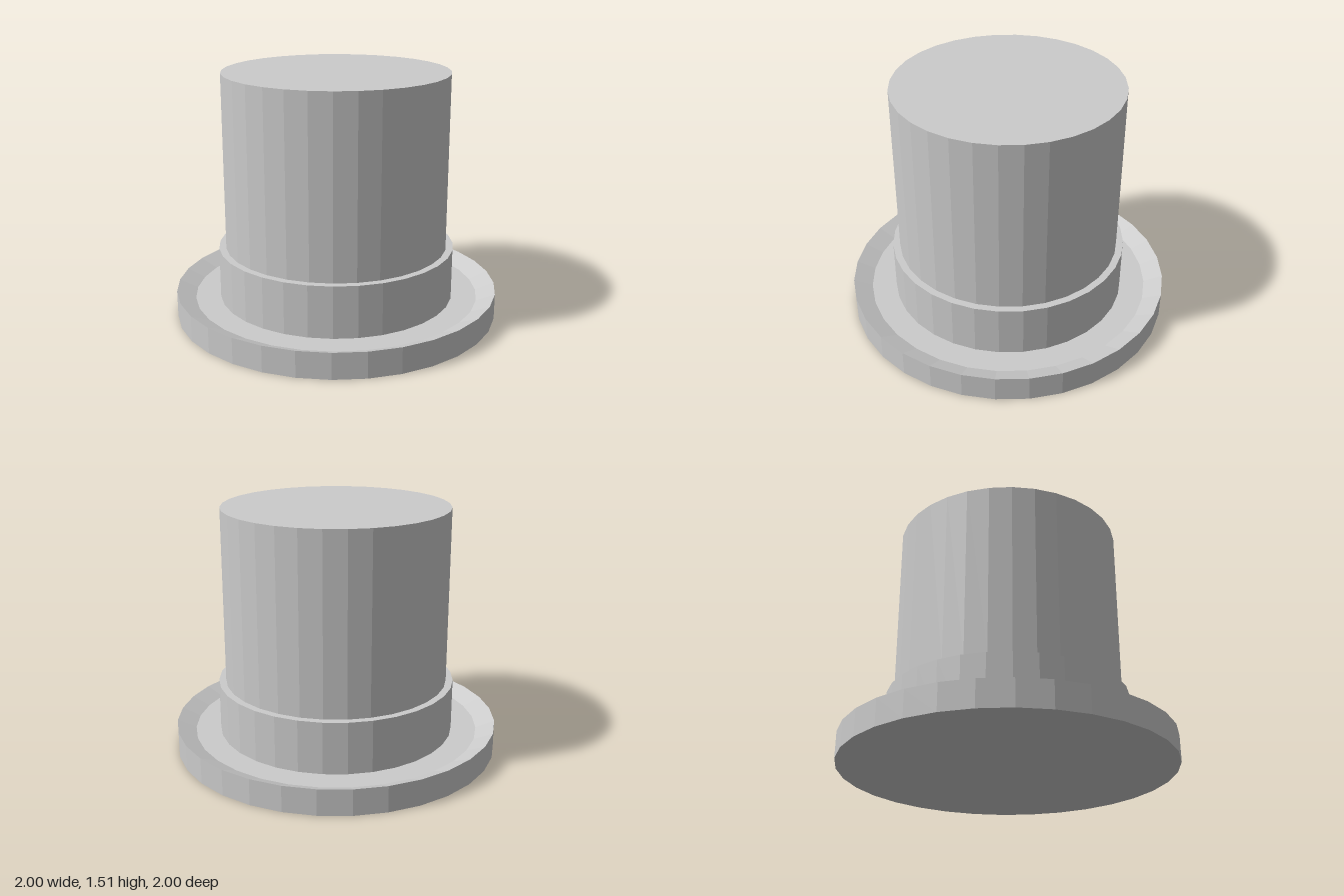
import * as THREE from 'three';

const SIDES = 32;

export function createModel() {
  const hat = new THREE.Group();
  hat.name = 'topHat';
  const material = new THREE.MeshStandardMaterial({ color: 0xcccccc, flatShading: true });

  // Each part is a faceted turning of a [radius, height] profile, listed from bottom to top.
  const addTurned = (name, profile) => {
    const points = profile.map(([r, y]) => new THREE.Vector2(r, y));
    const mesh = new THREE.Mesh(new THREE.LatheGeometry(points, SIDES), material);
    mesh.name = name;
    hat.add(mesh);
  };

  // Brim: flat underside, upright edge, inner bevel down to a sunken floor
  addTurned('brim', [[0, 0], [1, 0], [1, 0.16], [0.885, 0.11], [0.73, 0.11]]);
  // Band: wider collar with a narrow ledge around the crown
  addTurned('band', [[0.73, 0.11], [0.73, 0.427], [0.687, 0.427]]);
  // Crown: straight wall with a flat top
  addTurned('crown', [[0.687, 0.427], [0.687, 1.508], [0, 1.508]]);

  return hat;
}
